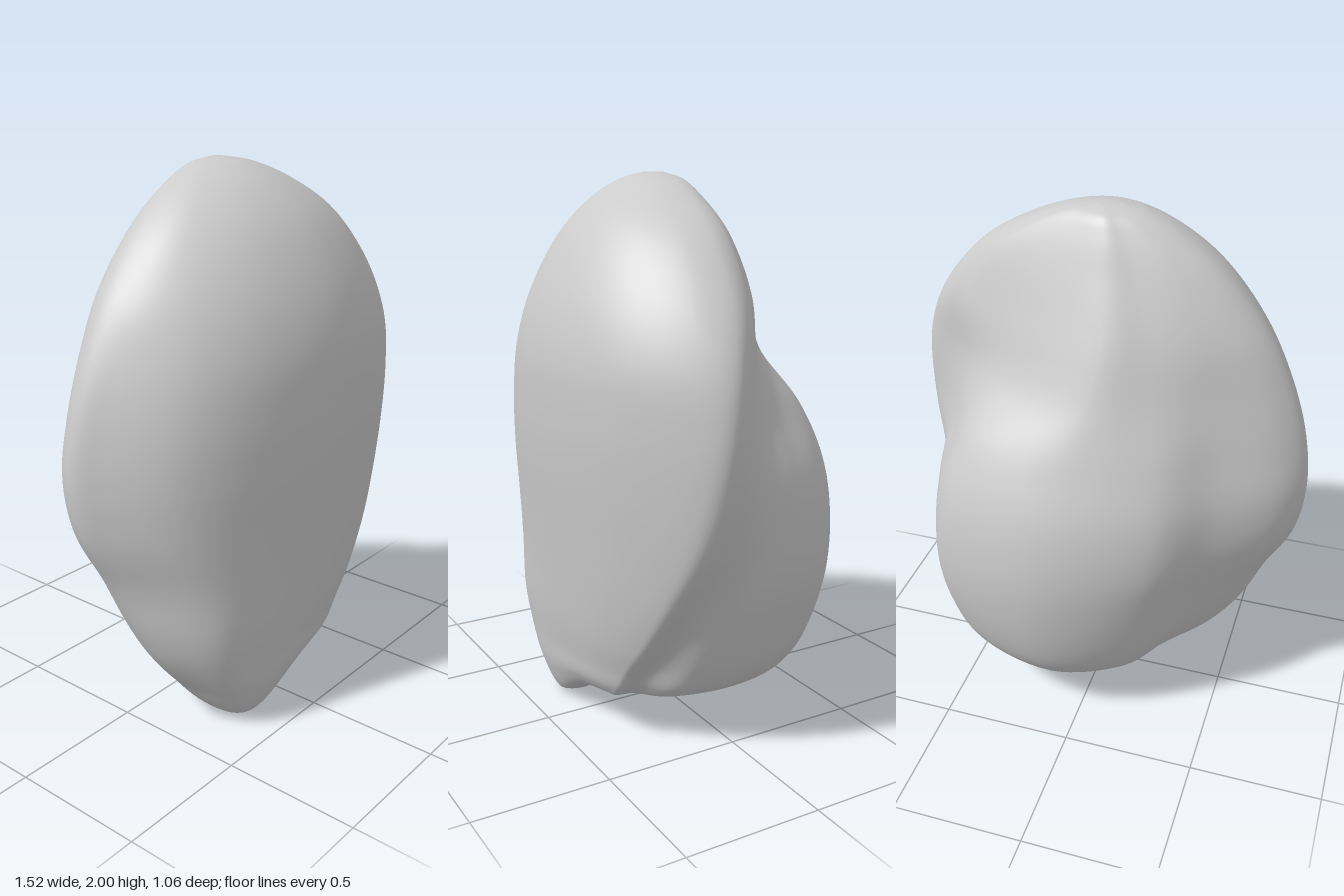
import * as THREE from 'three';

// Each level: y, left edge x/z, right edge x/z, front z, back z, right side x of the rear lobe
const LEVELS = [
  [0, -0.35, 0.2, 0.23, 0.33, 0.37, -0.24, 0.36],
  [0.1, -0.43, 0.2, 0.29, 0.35, 0.42, -0.35, 0.46],
  [0.25, -0.51, 0.19, 0.36, 0.35, 0.44, -0.43, 0.525],
  [0.4, -0.57, 0.16, 0.46, 0.34, 0.46, -0.48, 0.565],
  [0.6, -0.64, 0.1, 0.59, 0.31, 0.48, -0.52, 0.61],
  [0.8, -0.73, 0.05, 0.69, 0.26, 0.5, -0.53, 0.61],
  [1.0, -0.76, 0.03, 0.74, 0.22, 0.52, -0.5, 0.58],
  [1.2, -0.74, 0.03, 0.755, 0.19, 0.53, -0.42, 0.51],
  [1.4, -0.68, 0.03, 0.73, 0.16, 0.525, -0.32, 0.47],
  [1.6, -0.58, 0.03, 0.64, 0.12, 0.475, -0.24, 0.47],
  [1.8, -0.42, 0.03, 0.47, 0.09, 0.37, -0.15, 0.38],
  [1.92, -0.27, 0.03, 0.28, 0.06, 0.25, -0.095, 0.23],
  [1.98, -0.15, 0.03, 0.13, 0.04, 0.14, -0.055, 0.11],
  [2.0, -0.06, 0.03, 0.02, 0.03, 0.06, 0.0, 0.01],
];

const mix = THREE.MathUtils.lerp;
const smooth = THREE.MathUtils.smoothstep;

// Cross-section: broad front shield, groove on the right, rounded lobe behind
function section([y, xl, zl, xr, zr, zf, zb, br]) {
  const front = (t, f) => [mix(xl, xr, t), mix(mix(zl, zr, t), zf, f)];
  const low = 1 - smooth(y, 0.25, 0.95);
  const high = smooth(y, 1.15, 1.55); // above the lobe the back flattens to a plain shell
  const crown = smooth(y, 1.2, 1.85); // the rim gets rounder towards the top
  return [
    [xl, zl],
    front(0.03, mix(0.2, 0.32, Math.max(low, crown))),
    front(0.13, mix(0.6, 0.76, low)),
    front(0.3, mix(0.87, 0.94, low)),
    front(0.55, 1), front(0.8, 0.81), front(0.96, mix(0.3, 0.38, crown)),
    [xr, zr],
    [mix(br, xr, mix(0.88, 0.8, crown)), mix(zr, zb, mix(0.14, 0.25, crown) - 0.04 * low)],
    [mix(br, xr, 0.3), mix(zr, zb, mix(0.37, 0.24, low) + 0.08 * crown)],
    [br, mix(zr, zb, mix(0.57, 0.52, high))],
    [br * mix(mix(0.81, 0.85, low), 0.62, high), mix(zr, zb, mix(0.85, 0.72, high))],
    [mix(br * 0.2, xl * 0.1, high), zb],
    [xl * 0.37, mix(zl, zb, mix(0.8, 0.86, crown))],
    [xl * mix(0.62, 0.7, crown), mix(zl, zb, mix(0.5, 0.64, crown))],
    [xl * mix(0.92, 0.94, crown), mix(zl, zb, mix(0.2, 0.3, crown))],
  ].map(([x, z]) => new THREE.Vector3(x, y, z));
}

// Height of the underside: two bumps reach below the rest
function underside(x, z) {
  const tip = Math.exp(-((x + 0.2) ** 2 + (z - 0.3) ** 2) / 0.04);
  const bump = Math.exp(-((x + 0.08) ** 2 + z ** 2) / 0.022);
  return Math.max(0, 0.155 - 0.155 * tip - 0.08 * bump);
}

function bodyGeometry(rows = 110, cols = 128) {
  const rings = LEVELS.map(section);
  // Close the bottom with rings shrinking to a centre
  const base = rings[0];
  const centre = new THREE.Vector3(-0.02, 0, 0.08);
  for (const s of [0.3, 0.65, 0.98]) {
    rings.unshift(base.map((p) => p.clone().lerp(centre, s)));
  }
  const columns = base.map((_, i) => new THREE.CatmullRomCurve3(rings.map((r) => r[i])));

  const pos = [];
  const index = [];
  for (let r = 0; r <= rows; r++) {
    const ring = new THREE.CatmullRomCurve3(columns.map((c) => c.getPoint(r / rows)), true);
    for (let c = 0; c < cols; c++) {
      const p = ring.getPoint(c / cols);
      const y = Math.max(0, p.y);
      const lift = Math.max(0, 1 - y / 0.5) ** 2;
      pos.push(p.x, y + underside(p.x, p.z) * lift, p.z);
      if (r < rows) {
        const a = r * cols + c;
        const b = r * cols + ((c + 1) % cols);
        index.push(a, b, b + cols, a, b + cols, a + cols);
      }
    }
  }
  // Fan caps at both ends
  const addCap = (start, flip) => {
    const mid = [0, 0, 0];
    for (let c = 0; c < cols; c++) {
      for (let k = 0; k < 3; k++) mid[k] += pos[(start + c) * 3 + k] / cols;
    }
    const m = pos.length / 3;
    pos.push(...mid);
    for (let c = 0; c < cols; c++) {
      const a = start + c;
      const b = start + ((c + 1) % cols);
      if (flip) index.push(m, b, a);
      else index.push(m, a, b);
    }
  };
  addCap(0, true);
  addCap(rows * cols, false);

  const geometry = new THREE.BufferGeometry();
  geometry.setAttribute('position', new THREE.Float32BufferAttribute(pos, 3));
  geometry.setIndex(index);
  geometry.computeVertexNormals();
  return geometry;
}

export function createModel() {
  const group = new THREE.Group();
  const body = new THREE.Mesh(bodyGeometry(), new THREE.MeshStandardMaterial({ color: 0xcccccc }));
  body.name = 'roundedBody';
  group.add(body);
  return group;
}
